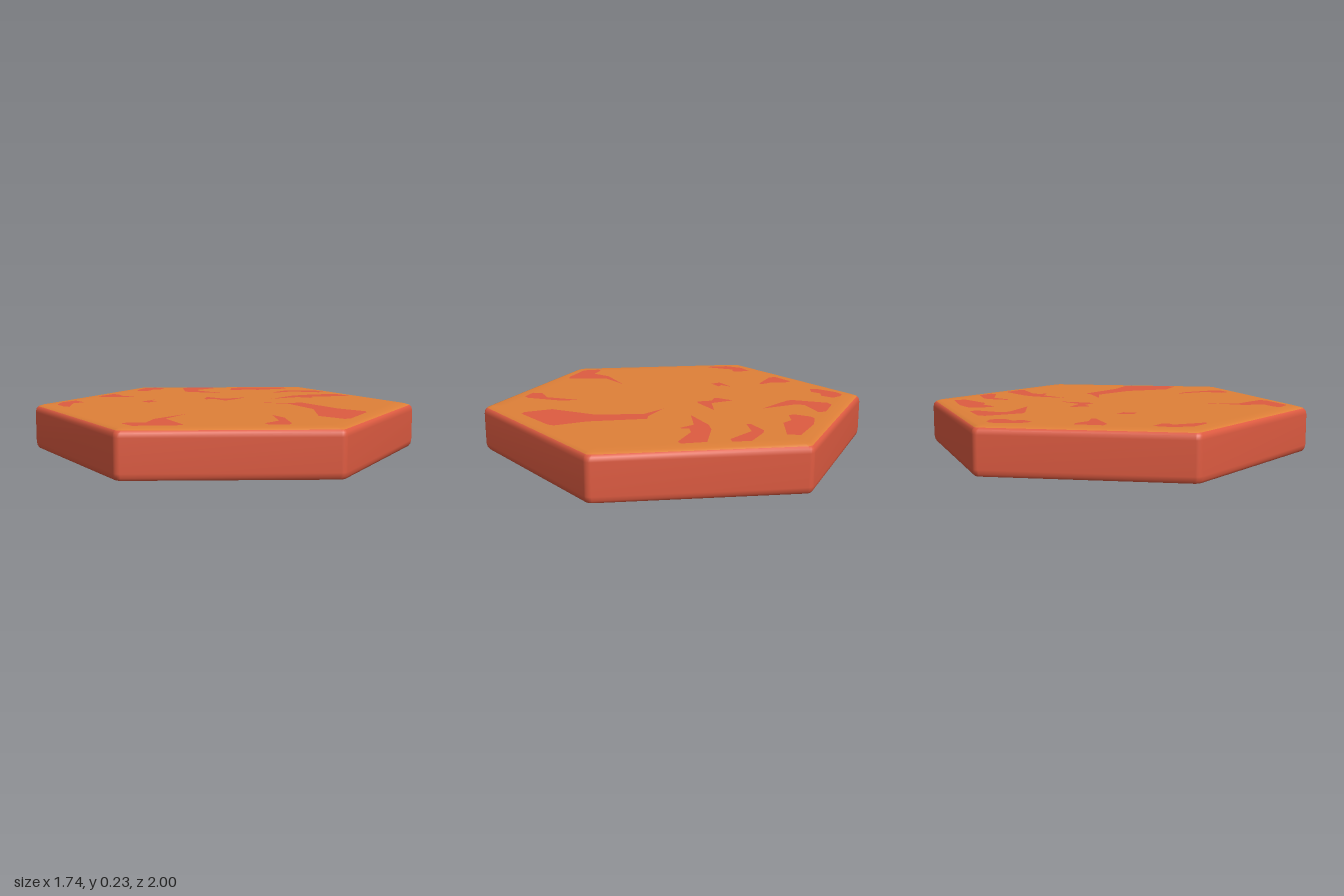
import * as THREE from 'three';

const APOTHEM = 0.87, CORNER = 0.035, TOP = 0.233;

const soil = new THREE.MeshStandardMaterial({ color: 0xdf8038 });
soil.name = 'orangeSoil';
const clay = new THREE.MeshStandardMaterial({ color: 0xde5b41 });
clay.name = 'redClay';

// Hexagon outline with softened corners, pushed inwards by inset
function outline(inset, y) {
  const pts = [];
  const reach = (APOTHEM - inset - CORNER) * 2 / Math.sqrt(3);
  for (let k = 0; k < 6; k++) {
    const t = k * Math.PI / 3;
    for (let s = -2; s <= 2; s++) {
      const u = t + s * Math.PI / 12;
      pts.push(reach * Math.sin(t) + CORNER * Math.sin(u), y,
        reach * Math.cos(t) + CORNER * Math.cos(u));
    }
  }
  return pts;
}

// Smooth tile body: rings from the top face down to the underside
function tileGeometry() {
  const rings = [
    [0.1, TOP], [0.035, TOP - 0.002], [0.014, TOP - 0.009], [0.004, TOP - 0.02], [0, TOP - 0.04],
    [0, 0.035], [0.004, 0.015], [0.012, 0.003], [0.025, 0], [0.1, 0],
  ];
  const n = 30, last = rings.length - 1;
  const soilRings = 2; // bands under the top face that keep its colour
  const pos = rings.flatMap(([d, y]) => outline(d, y));
  const topCentre = pos.length / 3, bottomCentre = topCentre + 1;
  pos.push(0, TOP, 0, 0, 0, 0);

  const topIdx = [], sideIdx = [], bottomIdx = [];
  for (let j = 0; j < n; j++) {
    const k = (j + 1) % n;
    topIdx.push(topCentre, j, k);
    bottomIdx.push(bottomCentre, last * n + k, last * n + j);
    for (let i = 0; i < last; i++) {
      const a = i * n + j, b = i * n + k, c = a + n, d = b + n;
      (i < soilRings ? topIdx : sideIdx).push(c, d, b, c, b, a);
    }
  }
  const geo = new THREE.BufferGeometry();
  geo.setAttribute('position', new THREE.Float32BufferAttribute(pos, 3));
  geo.setIndex([...topIdx, ...sideIdx, ...bottomIdx]);
  geo.addGroup(0, topIdx.length, 0);
  geo.addGroup(topIdx.length, sideIdx.length, 1);
  geo.addGroup(topIdx.length + sideIdx.length, bottomIdx.length, 0);
  geo.computeVertexNormals();
  return geo;
}

export function createModel() {
  const model = new THREE.Group();
  model.name = 'hexTile';

  const body = new THREE.Mesh(tileGeometry(), [soil, clay]);
  body.name = 'tileBody';
  model.add(body);

  // Flat clay patches on the ground, each an outline of [x, z] points
  const patches = new THREE.Group();
  patches.name = 'clayPatches';
  model.add(patches);
  const patch = (name, points) => {
    const shape = new THREE.Shape(points.map(([x, z]) => new THREE.Vector2(x, -z)));
    const mesh = new THREE.Mesh(new THREE.ShapeGeometry(shape).rotateX(-Math.PI / 2), clay);
    mesh.position.y = TOP + 0.002;
    mesh.name = name;
    patches.add(mesh);
  };

  // Back half
  patch('backCornerPatch', [[0, -0.9], [0.04, -0.88], [0.07, -0.83], [0.02, -0.78], [-0.03, -0.79],
    [-0.07, -0.75], [-0.13, -0.76], [-0.13, -0.8], [-0.05, -0.88]]);
  patch('backRightPatch', [[-0.33, -0.7], [-0.31, -0.67], [-0.32, -0.59], [-0.28, -0.52],
    [-0.3, -0.51], [-0.44, -0.6], [-0.45, -0.64]]);
  patch('backLeftPatch', [[0.21, -0.78], [0.34, -0.71], [0.34, -0.67], [0.2, -0.64], [0.18, -0.6],
    [0.24, -0.41], [0.1, -0.57], [0.09, -0.6], [0.17, -0.77]]);
  patch('leftCornerPatch', [[0.45, -0.62], [0.55, -0.59], [0.72, -0.48], [0.7, -0.42], [0.51, -0.45],
    [0.47, -0.5], [0.38, -0.51], [0.37, -0.54], [0.42, -0.61]]);
  patch('rightCornerPatch', [[-0.63, -0.52], [-0.62, -0.43], [-0.65, -0.42], [-0.68, -0.43],
    [-0.76, -0.29], [-0.78, -0.31], [-0.78, -0.41], [-0.72, -0.49]]);

  // Middle
  patch('smallPatch', [[-0.24, -0.34], [-0.29, -0.29], [-0.26, -0.27], [-0.33, -0.24], [-0.35, -0.29]]);
  patch('centrePatch', [[0.06, -0.29], [0.1, -0.17], [0.24, -0.16], [0.09, -0.1], [0.06, -0.1],
    [0.05, -0.18], [0, -0.2], [0, -0.22]]);
  patch('leftUpperPatch', [[0.62, -0.33], [0.66, -0.32], [0.78, -0.24], [0.78, -0.15], [0.74, -0.15],
    [0.63, -0.27], [0.51, -0.27], [0.51, -0.29]]);
  patch('leftLowerPatch', [[0.5, -0.09], [0.58, -0.09], [0.77, -0.04], [0.78, 0.08], [0.75, 0.09],
    [0.61, 0.01], [0.55, 0.01], [0.54, 0.06], [0.49, -0.02], [0.32, -0.03]]);

  // Front half
  patch('largeFrontPatch', [[0.18, 0.09], [0.31, 0.18], [0.36, 0.19], [0.37, 0.48], [0.42, 0.64],
    [0.4, 0.67], [0.19, 0.8], [0.16, 0.79], [0.12, 0.65], [0.25, 0.44], [0.27, 0.2]]);
  patch('frontPatch', [[-0.05, 0.51], [-0.05, 0.61], [-0.13, 0.78], [-0.16, 0.8], [-0.24, 0.76],
    [-0.23, 0.71], [-0.13, 0.68]]);
  patch('frontRightPatch', [[-0.38, 0.26], [-0.54, 0.35], [-0.56, 0.56], [-0.6, 0.56], [-0.77, 0.47],
    [-0.78, 0.38], [-0.75, 0.37], [-0.67, 0.41], [-0.59, 0.33]]);

  return model;
}
